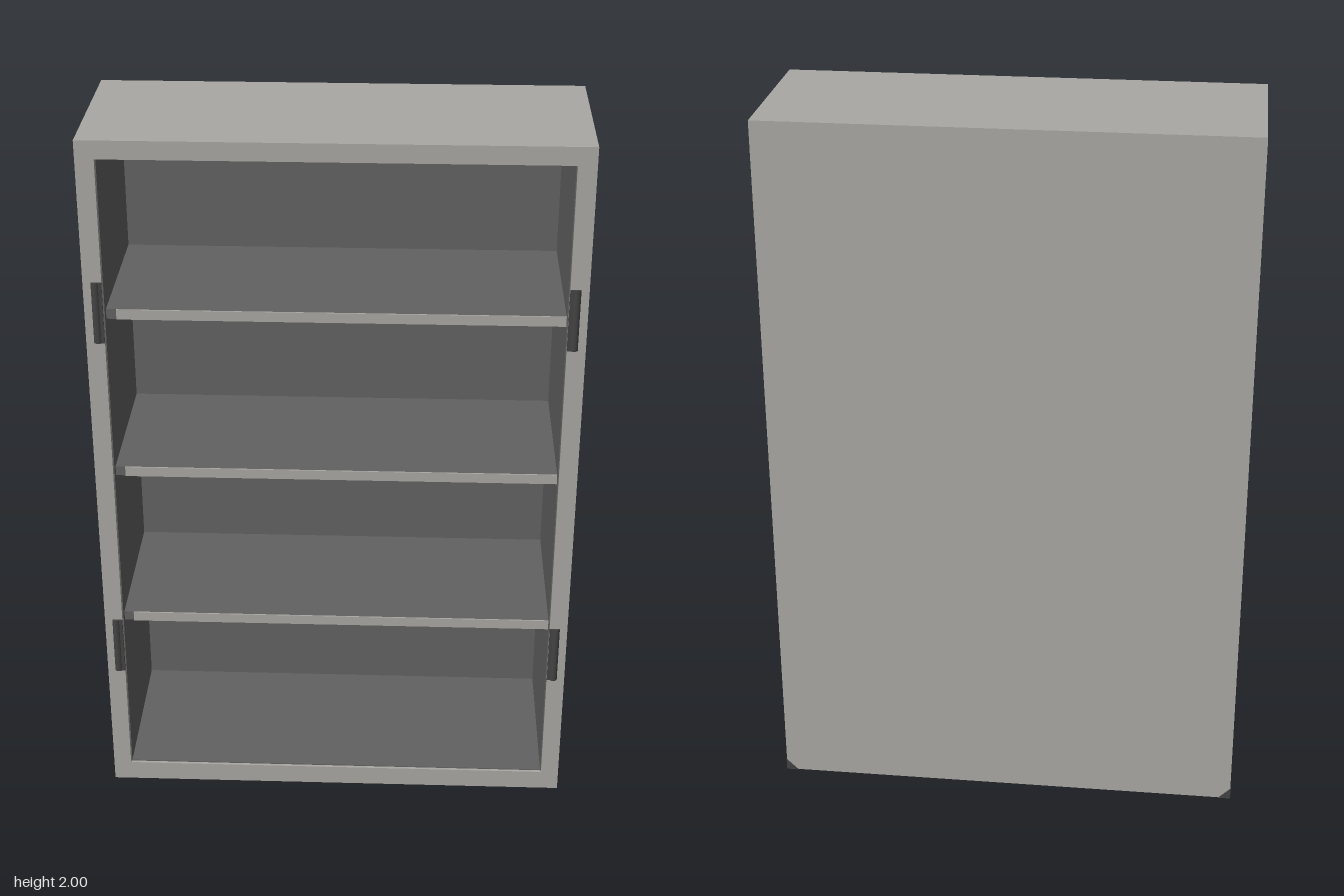
import * as THREE from 'three';

const mat = (name, color) => {
  const m = new THREE.MeshStandardMaterial({ color });
  m.name = name;
  return m;
};

export function createModel() {
  const shell = mat('shell grey', 0xaaa8a4);
  const inner = mat('interior dark grey', 0x626262);
  const metal = mat('hinge charcoal', 0x434343);
  const root = new THREE.Group();
  root.name = 'openCabinet';

  const add = (name, geo, material, x = 0, y = 0, z = 0) => {
    const m = new THREE.Mesh(geo, material);
    m.name = name;
    m.position.set(x, y, z);
    root.add(m);
    return m;
  };
  // Box given by its minimum and maximum corners
  const box = (name, a, b, material) => add(name,
    new THREE.BoxGeometry(b[0] - a[0], b[1] - a[1], b[2] - a[2]), material,
    (a[0] + b[0]) / 2, (a[1] + b[1]) / 2, (a[2] + b[2]) / 2);

  const W = 0.66, H = 2, back = -0.25, front = 0.243;
  const w = 0.61, y0 = 0.058, y1 = 1.95, innerBack = -0.235, lip = 0.235, t = 0.003;

  // Outer case: rectangular tube with a closed back
  const outline = new THREE.Shape([[-W, 0], [W, 0], [W, H], [-W, H]].map(p => new THREE.Vector2(...p)));
  outline.holes.push(new THREE.Path([[-w, y0], [-w, y1], [w, y1], [w, y0]].map(p => new THREE.Vector2(...p))));
  add('caseFrame', new THREE.ExtrudeGeometry(outline, { depth: front - innerBack, bevelEnabled: false }),
    shell, 0, 0, innerBack);
  box('backPanel', [-W, 0, back], [W, H, innerBack], shell);

  // Dark lining of the compartment
  box('liningBack', [-w, y0, innerBack], [w, y1, innerBack + t], inner);
  box('liningFloor', [-w, y0, innerBack], [w, y0 + t, lip], inner);
  box('liningCeiling', [-w, y1 - t, innerBack], [w, y1, lip], inner);
  box('liningRightSide', [-w, y0, innerBack], [-w + t, y1, lip], inner);
  box('liningLeftSide', [w - t, y0, innerBack], [w, y1, lip], inner);

  // Shelves: dark board with a light front edge that stops short at one end
  for (const y of [0.561, 1.036, 1.51]) {
    const h = 0.014, z = 0.215;
    box('shelf', [-w, y - h, innerBack], [w, y + h, z], inner);
    box('shelfFrontEdge', [-0.58, y - h, z], [w, y + h, z + 0.004], shell);
  }

  // Hinges: barrel on the frame and a leaf inside the opening
  for (const side of [-1, 1]) {
    for (const y of [0.477, 1.525]) {
      add('hingeBarrel', new THREE.CylinderGeometry(0.012, 0.012, 0.174, 16), metal, side * 0.628, y, 0.238);
      add('hingeLeaf', new THREE.BoxGeometry(0.016, 0.174, 0.006), metal, side * 0.618, y, front);
    }
  }

  // Small dark caps on the lower rear corners
  for (const side of [-1, 1]) {
    const tri = new THREE.Shape([new THREE.Vector2(0, 0), new THREE.Vector2(0.035, 0), new THREE.Vector2(0, 0.035)]);
    const geo = new THREE.ShapeGeometry(tri);
    const cap = metal.clone();
    cap.side = THREE.DoubleSide;
    const e = 0.001;
    add('cornerCapBack', geo, cap, side * (W + e), 0, back - e).scale.x = -side;
    const under = add('cornerCapUnder', geo, cap, side * (W + e), -e, back - e);
    under.rotation.x = Math.PI / 2;
    under.scale.x = -side;
    const flank = add('cornerCapSide', geo, cap, side * (W + e), 0, back - e);
    flank.rotation.y = -Math.PI / 2;
  }
  return root;
}
